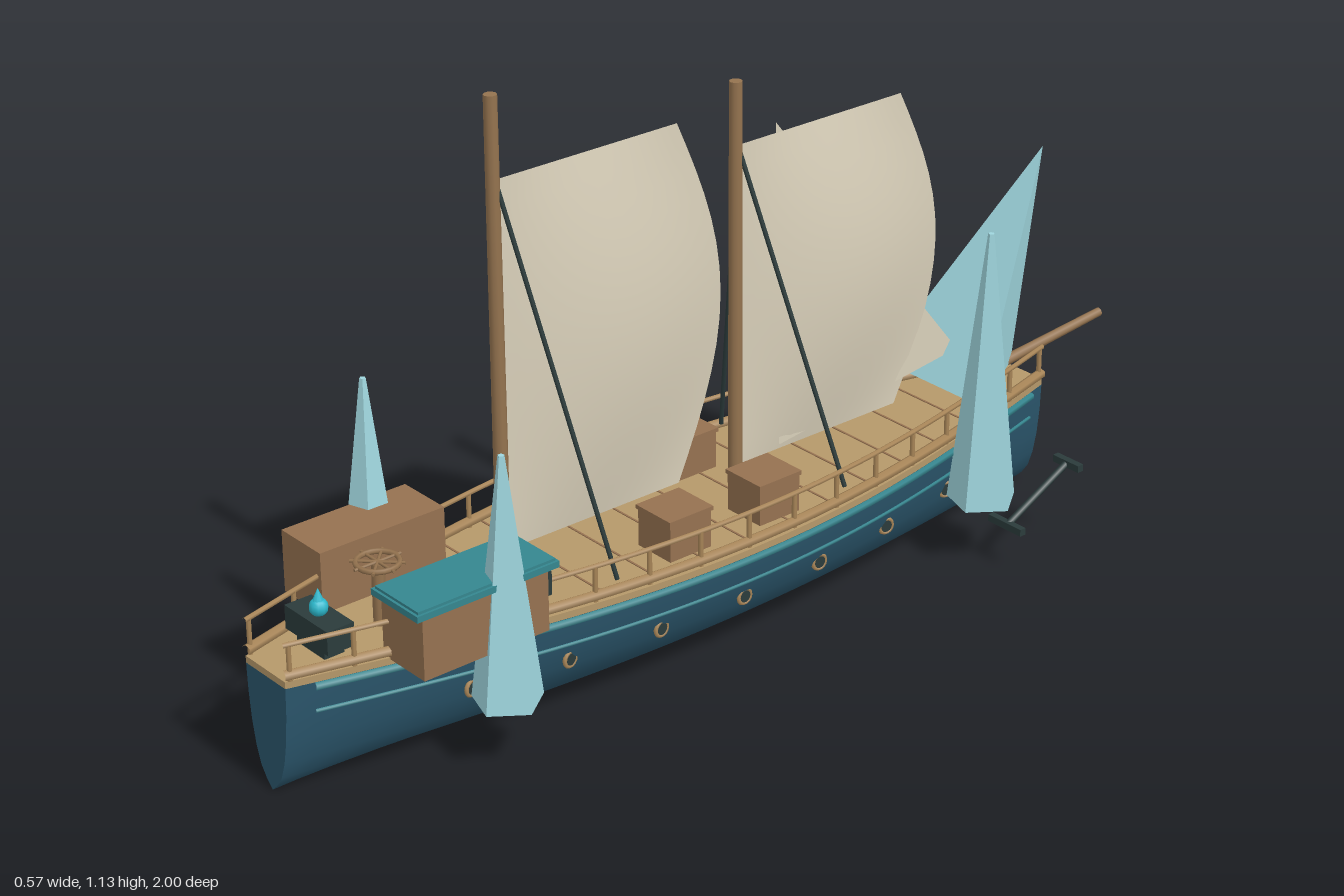
import * as THREE from 'three';
import { ConvexGeometry } from 'three/addons/geometries/ConvexGeometry.js';

const V = (x, y, z) => new THREE.Vector3(x, y, z);
const mat = (name, color, extra = {}) => new THREE.MeshStandardMaterial({ name, color, ...extra });

const BOW = 1, STERN = -0.78;
// half width of the hull at deck level, and the share of it kept at lower heights
const half = z => 0.058 + 0.155 * Math.sin(Math.PI * (z - STERN) / (BOW - STERN));
const SECTION = [[1, 0.222], [0.965, 0.17], [0.87, 0.115], [0.72, 0.07], [0.52, 0.036], [0.25, 0.014], [0, 0]];
function widthAt(y) {
  for (let i = 1; i < SECTION.length; i++) {
    const [w0, y0] = SECTION[i - 1], [w1, y1] = SECTION[i];
    if (y >= y1) return w1 + (w0 - w1) * Math.min(1, (y - y1) / (y0 - y1));
  }
  return 0;
}

export function createModel() {
  const root = new THREE.Group();
  root.name = 'sailingShip';
  const M = {
    hull: mat('hullBlue', 0x2b566c),
    teal: mat('tealPaint', 0x35868f),
    deck: mat('deckTan', 0xb5986a),
    rail: mat('railTan', 0xa98658),
    wood: mat('brownWood', 0x94734f),
    crate: mat('crateWood', 0x957150),
    dark: mat('darkIron', 0x2b3b3b),
    sail: mat('sailCream', 0xd8cfb9, { side: THREE.DoubleSide }),
    crystal: mat('paleCrystal', 0x9fd6de, { flatShading: true }),
    glow: mat('cyanFlame', 0x2cb8cc),
  };
  const add = (name, geo, m, x = 0, y = 0, z = 0, parent = root) => {
    const mesh = new THREE.Mesh(geo, m);
    mesh.name = name;
    mesh.position.set(x, y, z);
    parent.add(mesh);
    return mesh;
  };
  const box = (name, m, w, h, d, x, y, z) => add(name, new THREE.BoxGeometry(w, h, d), m, x, y, z);
  // round bar between two points
  const bar = (name, m, a, b, r, r2 = r, sides = 8) => {
    const mesh = add(name, new THREE.CylinderGeometry(r2, r, a.distanceTo(b), sides), m);
    mesh.position.copy(a).lerp(b, 0.5);
    mesh.quaternion.setFromUnitVectors(V(0, 1, 0), b.clone().sub(a).normalize());
    return mesh;
  };
  // tube that follows the side of the hull
  const sideTube = (name, m, side, y, r, z0 = STERN, z1 = BOW, scale = 1) => {
    const pts = [];
    for (let i = 0; i <= 20; i++) {
      const z = z0 + (z1 - z0) * i / 20;
      pts.push(V(side * half(z) * widthAt(y) * scale, y, z));
    }
    add(name, new THREE.TubeGeometry(new THREE.CatmullRomCurve3(pts), 40, r, 6), m);
  };

  // hull skin, lofted from stern to bow
  const ring = [...SECTION.map(([w, y]) => [-w, y]), ...SECTION.slice(0, -1).reverse()];
  const pos = [], idx = [], N = 36, R = ring.length;
  for (let i = 0; i <= N; i++) {
    const z = STERN + (BOW - STERN) * i / N;
    ring.forEach(([w, y], j) => {
      pos.push(w * half(z), y, z);
      if (i < N && j < R - 1) {
        const a = i * R + j;
        idx.push(a, a + 1, a + R, a + 1, a + R + 1, a + R);
      }
    });
  }
  const skin = new THREE.BufferGeometry();
  skin.setAttribute('position', new THREE.Float32BufferAttribute(pos, 3));
  skin.setIndex(idx);
  skin.computeVertexNormals();
  add('hull', skin, M.hull);
  const endShape = z => new THREE.ShapeGeometry(new THREE.Shape(ring.map(([w, y]) => new THREE.Vector2(w * half(z), y))));
  add('bowPlate', endShape(BOW), M.hull, 0, 0, BOW);
  add('sternPlate', endShape(STERN), M.hull, 0, 0, STERN).rotation.y = Math.PI;

  // deck with plank seams
  const edge = [];
  for (let i = 0; i <= 24; i++) {
    const z = STERN + (BOW - STERN) * i / 24;
    edge.push(new THREE.Vector2(half(z), -z));
  }
  const outline = [...edge, ...edge.slice().reverse().map(p => new THREE.Vector2(-p.x, p.y))];
  const deck = new THREE.ExtrudeGeometry(new THREE.Shape(outline), { depth: 0.013, bevelEnabled: false });
  deck.rotateX(-Math.PI / 2);
  add('deck', deck, M.deck, 0, 0.222, 0);
  for (let z = -0.64; z < 0.6; z += 0.105) box('plankSeam', M.crate, half(z) * 1.9, 0.002, 0.004, 0, 0.2355, z);

  for (const s of [-1, 1]) {
    // gunwale, railing and painted lines
    sideTube('gunwale', M.rail, s, 0.246, 0.01, STERN, BOW, 0.96);
    sideTube('topRail', M.rail, s, 0.303, 0.005, STERN, BOW, 0.96);
    for (let i = 0; i <= 16; i++) {
      const z = STERN + 0.01 + (BOW - STERN - 0.02) * i / 16, x = s * half(z) * 0.96;
      bar('railPost', M.rail, V(x, 0.235, z), V(x, 0.303, z), 0.005, 0.005, 6);
    }
    sideTube('upperStripe', M.teal, s, 0.214, 0.008, -0.74, 0.95);
    sideTube('lowerStripe', M.teal, s, 0.166, 0.004, -0.74, 0.95);

    // portholes
    for (let i = 0; i < 8; i++) {
      const z = 0.672 - 0.1875 * i, y = 0.13;
      const port = new THREE.Group();
      port.name = 'porthole';
      port.position.set(s * (half(z) * widthAt(y) + 0.001), y, z);
      port.rotation.set(0.0, s * Math.PI / 2 - Math.atan((half(z + 0.01) - half(z - 0.01)) / 0.02) * s, 0);
      root.add(port);
      add('portholeRing', new THREE.TorusGeometry(0.014, 0.004, 6, 14), M.rail, 0, 0, 0, port);
      add('portholeGlass', new THREE.CircleGeometry(0.013, 14), M.dark, 0, 0, 0.003, port);
    }

    // crystal spires beside the hull
    for (const [z, top, r] of [[0.645, 0.59, 0.065], [-0.485, 0.67, 0.068]]) {
      const spire = add('crystalSpire', new THREE.CylinderGeometry(0.006, r, top - 0.125, 5), M.crystal, s * 0.195, (top + 0.125) / 2, z);
      spire.rotation.y = s * Math.PI / 2;
    }

    // anchors
    const low = V(s * 0.245, 0.082, -0.505), high = V(s * 0.245, 0.162, -0.662);
    bar('anchorShank', M.dark, low, high, 0.007);
    box('anchorFoot', M.dark, 0.085, 0.014, 0.014, s * 0.243, low.y, low.z);
    box('anchorStock', M.dark, 0.066, 0.014, 0.014, s * 0.247, high.y, high.z);

    // deck crates with lids
    for (const z of [-0.003, 0.207]) {
      box('crate', M.crate, 0.088, 0.075, 0.094, s * 0.115, 0.272, z);
      box('crateLid', M.crate, 0.094, 0.008, 0.1, s * 0.115, 0.312, z);
    }
  }

  // masts, shrouds and billowing sails
  for (const [z, top, head, foot] of [[0.5, 1.13, 0.977, 0.28], [-0.035, 1.022, 0.9, 0.27]]) {
    bar('mast', M.wood, V(0, 0.23, z), V(0, top, z), 0.0135, 0.012, 10);
    for (const s of [-1, 1]) bar('shroud', M.dark, V(0, head, z - 0.005), V(s * 0.172, 0.255, z - 0.115), 0.0045, 0.0045, 6);
    const sail = new THREE.PlaneGeometry(1, 1, 14, 14), p = sail.attributes.position;
    for (let i = 0; i < p.count; i++) {
      const u = p.getX(i) + 0.5, v = p.getY(i) + 0.5, belly = Math.sin(Math.PI * v);
      p.setXYZ(i, 0.04 * Math.sin(Math.PI * u) * belly, foot + (head - foot) * v, z - u * (0.4 + 0.1 * belly));
    }
    sail.computeVertexNormals();
    add('sail', sail, M.sail);
  }
  const stay = new THREE.BufferGeometry().setFromPoints([V(0, 0.92, -0.13), V(0.004, 0.28, -0.14), V(0, 0.335, -0.6)]);
  stay.computeVertexNormals();
  add('staysail', stay, M.sail);

  // angular crystal fin and spar at the stern
  add('crystalFin', new ConvexGeometry([V(0, 0.697, -0.817), V(0.14, 0.283, -0.53), V(-0.14, 0.283, -0.53), V(0, 0.26, -0.75)]), M.crystal);
  bar('sternSpar', M.wood, V(0, 0.265, -0.72), V(0, 0.294, -0.999), 0.011, 0.009);

  // deckhouses
  box('openCabin', M.crate, 0.115, 0.12, 0.262, -0.147, 0.292, 0.69);
  box('roofedCabin', M.crate, 0.115, 0.12, 0.262, 0.145, 0.292, 0.69);
  box('cabinRoof', M.teal, 0.13, 0.012, 0.296, 0.145, 0.356, 0.688);
  box('roofCrown', M.teal, 0.12, 0.006, 0.286, 0.145, 0.364, 0.688);
  box('cabinDoor', M.dark, 0.065, 0.045, 0.008, 0.145, 0.303, 0.536);

  // steering wheel lying flat on its post
  bar('wheelPost', M.wood, V(0, 0.235, 0.765), V(0, 0.352, 0.765), 0.012);
  add('wheelRim', new THREE.TorusGeometry(0.038, 0.005, 6, 20), M.wood, 0, 0.354, 0.765).rotation.x = Math.PI / 2;
  for (let i = 0; i < 4; i++) {
    const a = i * Math.PI / 4, d = V(Math.cos(a) * 0.048, 0, Math.sin(a) * 0.048), c = V(0, 0.354, 0.765);
    bar('wheelSpoke', M.wood, c.clone().sub(d), c.clone().add(d), 0.003, 0.003, 6);
  }

  // brazier at the bow
  box('brazier', M.dark, 0.124, 0.045, 0.055, 0, 0.277, 0.888);
  box('brazierFoot', M.dark, 0.08, 0.02, 0.04, 0, 0.245, 0.888);
  add('flameBase', new THREE.SphereGeometry(0.017, 10, 8), M.glow, 0, 0.312, 0.888);
  add('flameTip', new THREE.ConeGeometry(0.014, 0.032, 8), M.glow, 0, 0.332, 0.888);
  return root;
}
